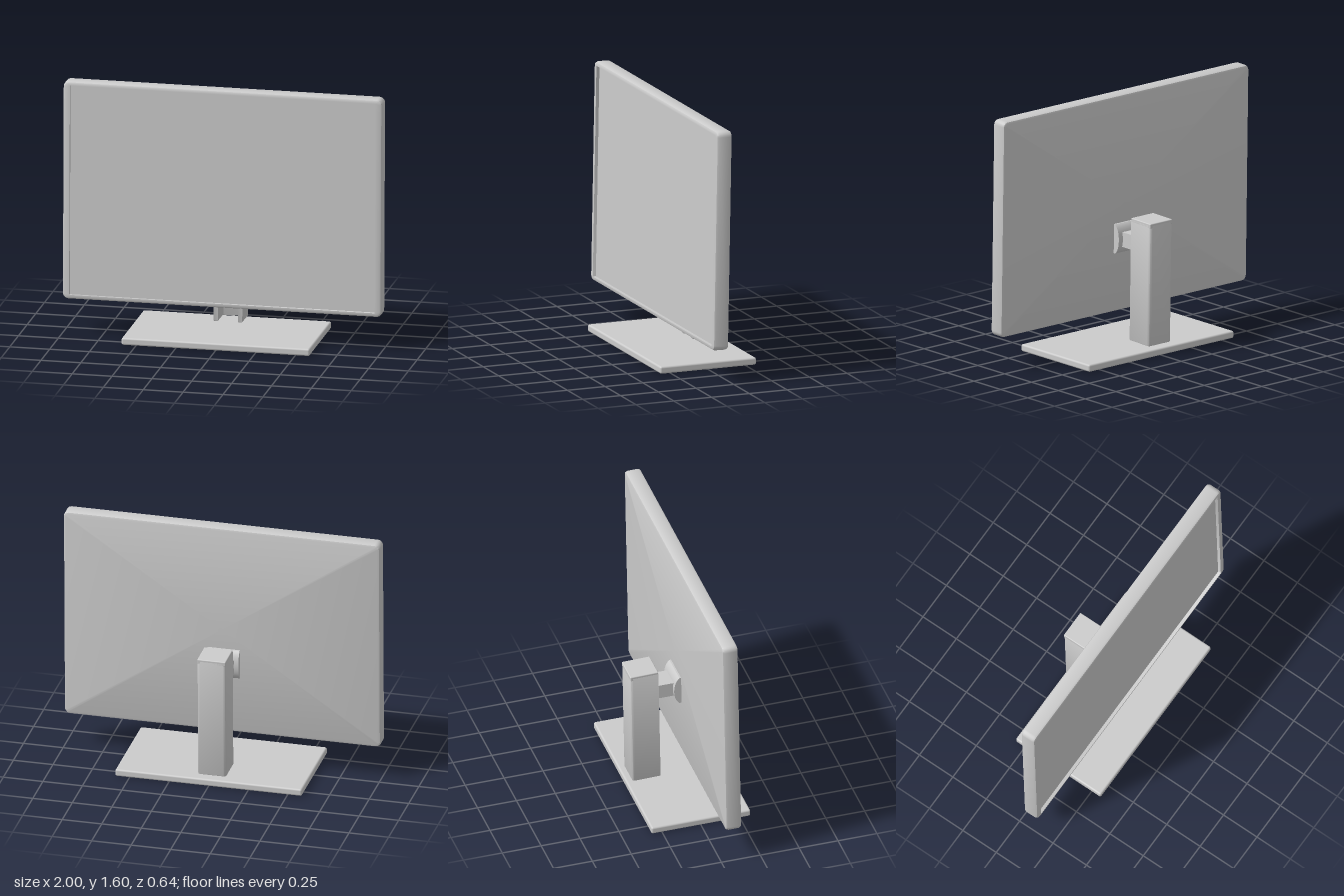
import * as THREE from 'three';
import { toCreasedNormals } from 'three/addons/utils/BufferGeometryUtils.js';
import { RoundedBoxGeometry } from 'three/addons/geometries/RoundedBoxGeometry.js';

const TILT = -0.018;
const material = new THREE.MeshStandardMaterial({ color: 0xcccccc });

function add(parent, name, geometry, x = 0, y = 0, z = 0) {
  const mesh = new THREE.Mesh(geometry, material);
  mesh.name = name;
  mesh.position.set(x, y, z);
  parent.add(mesh);
  return mesh;
}

// Rounded rectangle outline, counter-clockwise seen from +z
function ring(hw, hh, r, z, n = 5) {
  const points = [];
  [[1, 1], [-1, 1], [-1, -1], [1, -1]].forEach(([sx, sy], k) => {
    for (let i = 0; i <= n; i++) {
      const a = (k + i / n) * Math.PI / 2;
      points.push([sx * (hw - r) + r * Math.cos(a), sy * (hh - r) + r * Math.sin(a), z]);
    }
  });
  return points;
}

// Skin the rings from back to front and close both ends with fans
function loft(rings) {
  const pos = [];
  const tri = (...p) => p.forEach(q => pos.push(...q));
  const n = rings[0].length;
  const last = rings[rings.length - 1];
  const backCentre = [0, 0, rings[0][0][2]], frontCentre = [0, 0, last[0][2]];
  for (let j = 0; j < n; j++) {
    const k = (j + 1) % n;
    tri(backCentre, rings[0][k], rings[0][j]);
    for (let i = 0; i + 1 < rings.length; i++) {
      const a = rings[i], b = rings[i + 1];
      tri(a[j], a[k], b[k]);
      tri(a[j], b[k], b[j]);
    }
    tri(frontCentre, last[j], last[k]);
  }
  const g = new THREE.BufferGeometry();
  g.setAttribute('position', new THREE.Float32BufferAttribute(pos, 3));
  return toCreasedNormals(g, 0.6);
}

// Display body: soft outer edge, flat bezel, recessed screen
function displayGeometry() {
  const W = 1, H = 0.69;
  const outer = [[0.018, -0.05], [0.006, -0.046], [0, -0.034], [0, 0.034], [0.006, 0.046], [0.015, 0.05]];
  const rings = outer.map(([inset, z]) => ring(W - inset, H - inset, 0.034 - inset, z));
  for (const z of [0.05, 0.03]) rings.push(ring(W - 0.042, H - 0.026, 0.002, z));
  return loft(rings);
}

// Column: U-shaped channel open to the front, extruded upward
function columnGeometry(height) {
  const w = 0.084, d = 0.084, t = 0.016, r = 0.012, b = 0.006;
  const s = new THREE.Shape();
  s.moveTo(-w, -d);
  s.lineTo(-w + t, -d);
  s.lineTo(-w + t, d - t);
  s.lineTo(w - t, d - t);
  s.lineTo(w - t, -d);
  s.lineTo(w, -d);
  s.lineTo(w, d - r);
  s.quadraticCurveTo(w, d, w - r, d);
  s.lineTo(-w + r, d);
  s.quadraticCurveTo(-w, d, -w, d - r);
  const g = new THREE.ExtrudeGeometry(s, {
    depth: height - 2 * b, bevelThickness: b, bevelSize: b, bevelSegments: 2, curveSegments: 4,
  });
  g.translate(0, 0, b);
  g.rotateX(-Math.PI / 2);
  return toCreasedNormals(g, 0.6);
}

// Mount: domed side profile extruded across x
function mountGeometry(width) {
  const s = new THREE.Shape();
  s.moveTo(-0.02, -0.093);
  s.lineTo(0.012, -0.093);
  s.bezierCurveTo(0.034, -0.075, 0.046, -0.04, 0.046, 0);
  s.bezierCurveTo(0.046, 0.04, 0.034, 0.075, 0.012, 0.093);
  s.lineTo(-0.02, 0.093);
  const g = new THREE.ExtrudeGeometry(s, { depth: width, bevelEnabled: false, curveSegments: 10 });
  g.translate(0, 0, -width / 2);
  g.rotateY(Math.PI / 2);
  return toCreasedNormals(g, 0.6);
}

export function createModel() {
  const model = new THREE.Group();
  model.name = 'monitor';

  add(model, 'base', new RoundedBoxGeometry(1.18, 0.046, 0.636, 3, 0.012), 0, 0.023, 0);

  add(model, 'display', displayGeometry(), 0, 0.908, 0.07).rotation.x = TILT;

  // Stand leans with the display
  const stand = new THREE.Group();
  stand.name = 'stand';
  stand.position.set(-0.014, 0.062, -0.196);
  stand.rotation.x = TILT;
  model.add(stand);
  add(stand, 'column', columnGeometry(0.775));
  add(stand, 'columnCap', new RoundedBoxGeometry(0.18, 0.03, 0.18, 3, 0.006), 0, 0.768, 0);

  add(model, 'arm', new THREE.BoxGeometry(0.142, 0.094, 0.26), -0.014, 0.683, -0.145);
  add(model, 'mount', mountGeometry(0.204), -0.012, 0.687, 0.024);
  return model;
}
